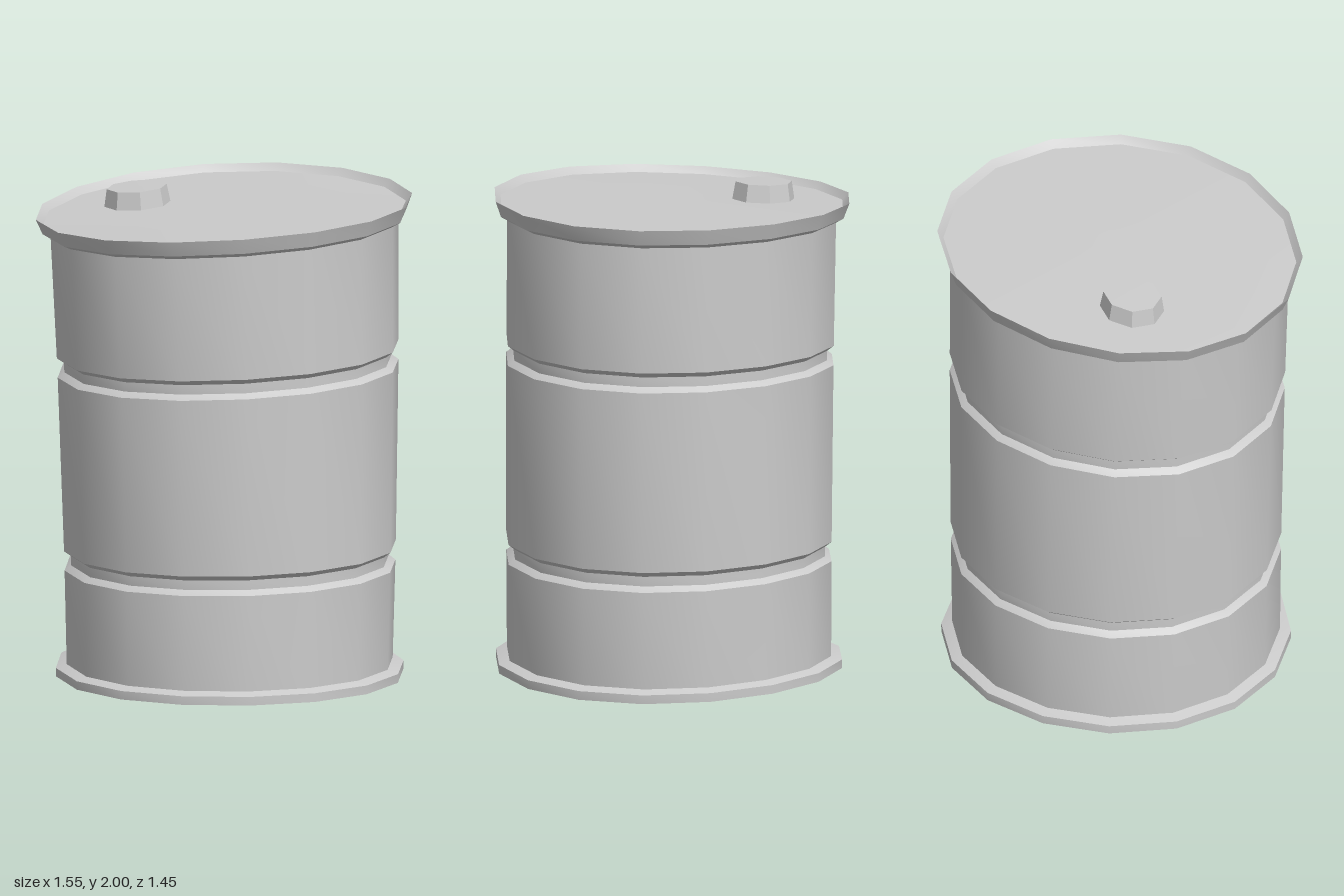
import * as THREE from 'three';
import { toCreasedNormals } from 'three/addons/utils/BufferGeometryUtils.js';

const material = new THREE.MeshStandardMaterial({ color: 0xcccccc, side: THREE.DoubleSide });

// Dents the straight drum: widens it towards the top, leans it and bows its rings
function warp(geometry) {
  const p = geometry.attributes.position;
  for (let i = 0; i < p.count; i++) {
    const x = p.getX(i), y = p.getY(i), s = x / 0.7;
    p.setX(i, x * (0.998 + 0.037 * y) + 0.02 + 0.008 * y - 0.01 * y * y);
    p.setY(i, y + (0.0195 * y - 0.003) * s - 0.018 * s * s);
  }
  return toCreasedNormals(geometry, 0.5);
}

function turned(name, profile, sides, x = 0, z = 0) {
  const points = profile.map(([r, y]) => new THREE.Vector2(r, y));
  const geometry = new THREE.LatheGeometry(points, sides).translate(x, 0, z);
  const mesh = new THREE.Mesh(warp(geometry), material);
  mesh.name = name;
  return mesh;
}

export function createModel() {
  const drum = new THREE.Group();
  drum.name = 'drum';
  const R = 0.67;

  // Bottom hoop, open in the middle
  drum.add(turned('baseRim', [[R, 0.021], [0.715, 0.021], [0.715, 0.057], [R, 0.07]], 16));

  // Wall with two pressed grooves
  const wall = [[R, 0.021]];
  for (const y of [0.51, 1.333]) {
    wall.push([R, y - 0.041], [R - 0.027, y - 0.021], [R - 0.027, y + 0.019], [R, y + 0.041]);
  }
  wall.push([R, 1.89]);
  drum.add(turned('wall', wall, 16));

  // Flared lid with a slightly sunken deck
  drum.add(turned('lid', [[R, 1.89], [0.7, 1.908], [0.7225, 1.972], [0.698, 1.942], [0, 1.942]], 16));

  // Filler cap
  drum.add(turned('fillerCap', [[0.127, 1.94], [0.115, 2.013], [0, 2.013]], 8, -0.308, -0.237));

  return drum;
}
